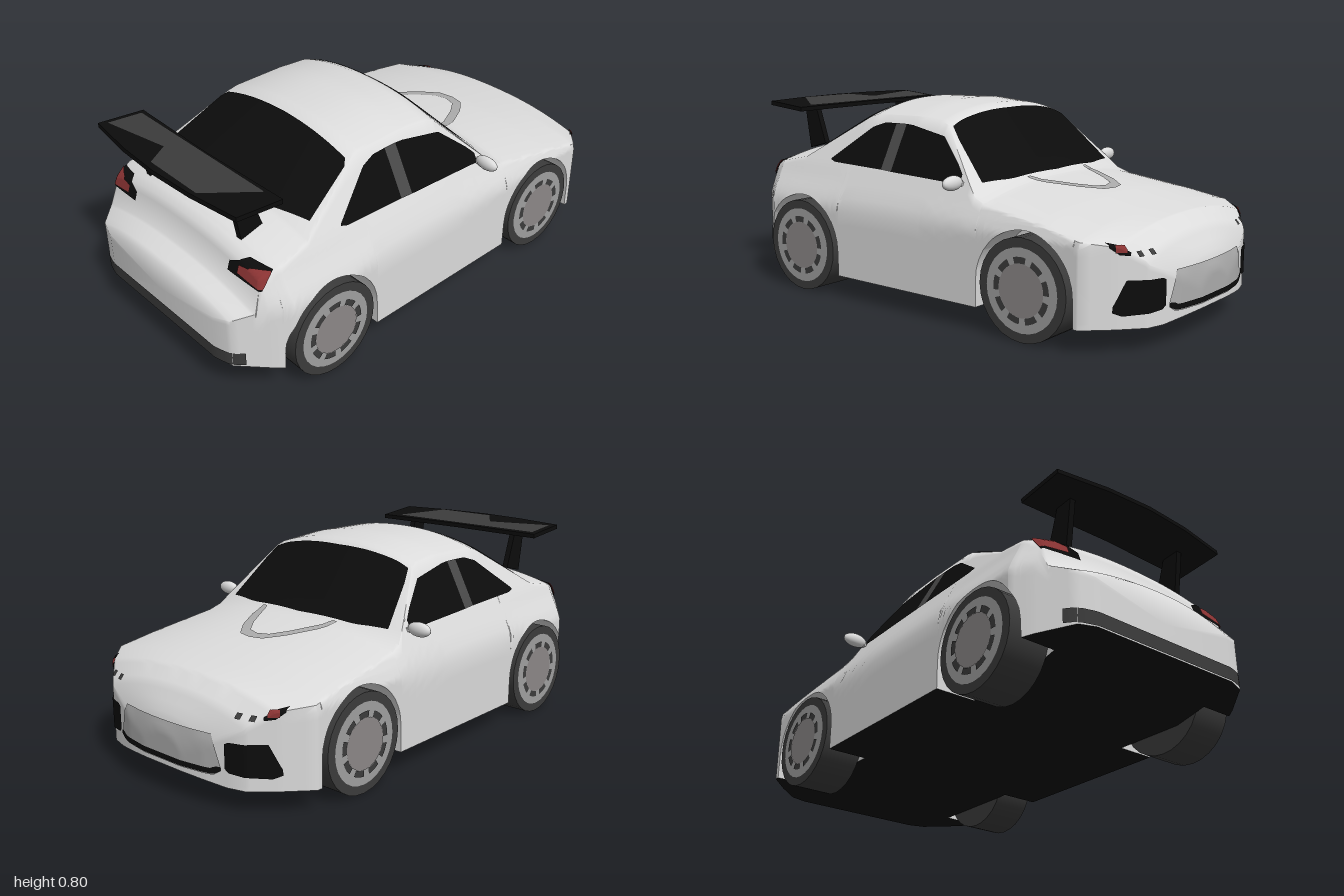
import * as THREE from 'three';
import { toCreasedNormals } from 'three/addons/utils/BufferGeometryUtils.js';

const flat = (name, color) => new THREE.MeshStandardMaterial({ name, color, side: THREE.DoubleSide });

// Piecewise linear lookup in a list of [position, value] pairs
function at(table, x) {
  if (x <= table[0][0]) return table[0][1];
  for (let i = 1; i < table.length; i++) {
    const [x0, y0] = table[i - 1], [x1, y1] = table[i];
    if (x <= x1) return y0 + (y1 - y0) * (x - x0) / (x1 - x0);
  }
  return table[table.length - 1][1];
}

// Body rules: centre line height, half width in plan, lower edge, side curve
const TOP = [[-1, .39], [-.985, .4], [-.91, .43], [-.87, .55], [-.82, .575], [-.67, .605], [-.38, .782], [-.34, .796],
  [-.12, .8], [.02, .787], [.05, .775], [.28, .54], [.33, .52], [.6, .48], [.87, .43], [.93, .38], [.98, .3], [1, .24]];
const WIDTH = [[-1, .33], [-.98, .4], [-.87, .49], [-.8, .535], [.77, .535], [.86, .45], [.94, .36], [.985, .2], [1, .1]];
const BASE = [[-1, .15], [-.83, .12], [-.7, .09], [.96, .09], [1, .11]];
const SIDE = [[.38, 1], [.42, .97], [.48, .912], [.53, .87], [.72, .682], [.8, .6]];
const WHEELS = [-.62, .535], ARCH = .213, AXLE = .19, CROWN = .055, WELL = .37;

const archAt = x => {
  const c = WHEELS.find(c => Math.abs(x - c) <= ARCH + 1e-6);
  return c === undefined ? null : AXLE + Math.sqrt(Math.max(0, ARCH * ARCH - (x - c) ** 2));
};

// One closed cross-section, running from the +z underside over the top to -z
function section(x) {
  const w = at(WIDTH, x), base = at(BASE, x), low = archAt(x) ?? base;
  const top = at(TOP, x), edge = top - CROWN, inset = Math.min(WELL, w);
  const half = [[base, inset], [low, inset]];
  for (let k = 0; k <= 12; k++) {
    const y = low + (edge - low) * k / 12;
    half.push([y, w * at(SIDE, y)]);
  }
  const edgeZ = w * at(SIDE, edge);
  for (let k = 1; k <= 12; k++) {
    const t = Math.cos(k / 12 * Math.PI / 2);
    half.push([top - CROWN * Math.pow(Math.max(t, 0), 2.3), k === 12 ? 0 : edgeZ * t]);
  }
  return half.concat(half.slice(0, -1).reverse().map(([y, z]) => [y, -z]));
}

function buildBody(paint, under) {
  let xs = [...TOP, ...WIDTH, ...BASE].map(p => p[0]);
  for (let i = 0; i <= 50; i++) xs.push(-1 + i / 25);
  for (const c of WHEELS) {
    xs.push(c - ARCH - .001, c + ARCH + .001);
    for (let i = 0; i <= 16; i++) xs.push(c + ARCH * Math.cos(i / 16 * Math.PI));
  }
  xs = xs.sort((a, b) => a - b).filter((x, i, all) => i === 0 || x - all[i - 1] > .0008);
  const pos = [], shell = [], floor = [];
  const rings = xs.map(section), n = rings[0].length;
  rings.forEach((ring, i) => ring.forEach(([y, z]) => pos.push(xs[i], y, z)));
  for (let i = 0; i < xs.length - 1; i++) {
    const inWell = archAt(xs[i]) !== null || archAt(xs[i + 1]) !== null;
    for (let j = 0; j < n; j++) {
      const k = (j + 1) % n, a = i * n + j, b = a + n, c = (i + 1) * n + k, d = i * n + k;
      const below = j === n - 1 || (!inWell && (j < 2 || j > n - 4));
      (below ? floor : shell).push(a, b, c, a, c, d);
    }
  }
  // Tail and nose caps
  const last = (xs.length - 1) * n, mid = pos.length / 3;
  pos.push(-1, .27, 0, 1, .17, 0);
  for (let j = 0; j < n; j++) {
    const k = (j + 1) % n;
    shell.push(mid, j, k, mid + 1, last + k, last + j);
  }
  const make = (name, index, mat) => {
    const g = new THREE.BufferGeometry();
    g.setAttribute('position', new THREE.Float32BufferAttribute(pos, 3));
    g.setIndex(index);
    const mesh = new THREE.Mesh(toCreasedNormals(g, 1), mat);
    mesh.name = name;
    return mesh;
  };
  return [make('bodyShell', shell, paint), make('underside', floor, under)];
}

// Thin plate laid on the shell, between two outline curves seen along an axis
function plate(target, name, mat, dir, [a0, a1], low, high, lift = .004) {
  const U = 40, V = 8, pos = [], index = [], ray = new THREE.Raycaster();
  const d = new THREE.Vector3(...dir);
  let previous = null;
  for (let i = 0; i <= U; i++) for (let j = 0; j <= V; j++) {
    const a = a0 + (a1 - a0) * i / U, key = dir[2] ? a : Math.abs(a);
    const b = at(low, key) + (at(high, key) - at(low, key)) * j / V;
    const p = dir[0] ? [0, b, a] : dir[1] ? [b, 0, a] : [a, b, 0];
    ray.set(new THREE.Vector3(...p).addScaledVector(d, 3), d.clone().negate());
    const hit = ray.intersectObject(target)[0];
    if (hit) previous = hit.point.clone().addScaledVector(hit.face.normal, lift);
    pos.push(...(previous ?? new THREE.Vector3(...p)).toArray());
    if (i < U && j < V) {
      const q = i * (V + 1) + j, r = q + V + 1;
      index.push(q, r, r + 1, q, r + 1, q + 1);
    }
  }
  const g = new THREE.BufferGeometry();
  g.setAttribute('position', new THREE.Float32BufferAttribute(pos, 3));
  g.setIndex(index);
  g.computeVertexNormals();
  const mesh = new THREE.Mesh(g, mat);
  mesh.name = name;
  return mesh;
}

export function createModel() {
  const car = new THREE.Group();
  car.name = 'sportsCar';
  const paint = flat('silverWhitePaint', 0xdcdcdc), black = flat('black', 0x0c0c0c);
  const charcoal = flat('charcoal', 0x3c3c3c), rimGrey = flat('rimGrey', 0xa0a0a0);
  const hubGrey = flat('hubGrey', 0x8c8888), red = flat('lampRed', 0x8c3434);
  const trimGrey = flat('trimGrey', 0xacacac), pillarGrey = flat('pillarGrey', 0x484848);
  const add = (name, geometry, mat, parent = car) => {
    const mesh = new THREE.Mesh(geometry, mat);
    mesh.name = name;
    parent.add(mesh);
    return mesh;
  };

  const [shell, underside] = buildBody(paint, black);
  car.add(shell, underside);
  shell.updateMatrixWorld();
  const lay = (...args) => car.add(plate(shell, ...args));
  const FRONT = [1, 0, 0], REAR = [-1, 0, 0], UP = [0, 1, 0];
  const level = v => [[0, v]];

  // Windscreen and rear window
  lay('windscreen', black, UP, [-.415, .415], [[0, .06], [.3, .055], [.36, .06], [.415, .25]], [[0, .3], [.25, .285], [.415, .255]]);
  lay('rearWindow', black, UP, [-.405, .405], [[0, -.68], [.25, -.66], [.405, -.615]], [[0, -.385], [.36, -.39], [.405, -.61]]);

  // Hood crest line
  lay('hoodCurve', trimGrey, UP, [-.2, .2], [[0, .53], [.05, .515], [.1, .45], [.16, .34], [.175, .3], [.2, .3]],
    [[0, .572], [.06, .56], [.12, .49], [.18, .38], [.2, .31]]);

  // Grille, lower intake and rear skirt
  lay('grillePanel', trimGrey, FRONT, [-.27, .27], [[.24, .13], [.27, .15]], [[.235, .275], [.27, .16]]);
  lay('lowerIntake', black, FRONT, [-.27, .27], [[0, .135], [.24, .135], [.27, .15]], [[0, .155], [.23, .155], [.25, .165], [.27, .165]], .007);
  lay('rearSkirt', charcoal, REAR, [-.43, .43], level(.152), level(.205));

  for (const s of [1, -1]) {
    const span = (a, b) => [s * a, s * b], OUT = [0, 0, s];

    // Side windows and door pillar
    lay('rearSideWindow', black, OUT, [-.515, -.22], [[-.515, .55], [-.49, .542], [-.22, .535]],
      [[-.515, .555], [-.34, .69], [-.28, .71], [-.22, .712]]);
    lay('doorPillar', pillarGrey, OUT, [-.22, -.165], [[-.22, .535], [-.165, .532]], level(.712));
    lay('frontSideWindow', black, OUT, [-.165, .195], [[-.165, .532], [.195, .52]],
      [[-.165, .712], [-.13, .71], [.05, .68], [.16, .59], [.195, .555]]);

    // Lamps and bumper vents
    lay('frontVent', black, FRONT, span(.285, .455), [[.285, .16], [.3, .147], [.43, .137], [.455, .15]],
      [[.285, .25], [.3, .258], [.42, .262], [.455, .17]]);
    lay('headlampFrame', black, FRONT, span(.41, .465), [[.41, .345], [.44, .35], [.465, .375]], [[.41, .355], [.44, .38], [.465, .388]]);
    lay('headlampLens', red, FRONT, span(.42, .45), level(.358), level(.378), .007);
    for (const z of [.31, .365]) lay('markerLamp', charcoal, FRONT, span(z, z + .022), level(.338), level(.355));
    lay('tailLampFrame', black, REAR, span(.29, .455), [[.29, .465], [.455, .455]], [[.29, .5], [.36, .53], [.455, .52]]);
    lay('tailLampLens', red, REAR, span(.34, .455), [[.34, .475], [.455, .46]], [[.34, .505], [.455, .515]], .008);

    // Door mirrors
    const mirror = add('doorMirror', new THREE.SphereGeometry(1, 16, 12), paint);
    mirror.scale.set(.022, .028, .052);
    mirror.position.set(.2, .533, s * .518);
    const arm = add('mirrorArm', new THREE.BoxGeometry(.02, .015, .05), paint);
    arm.position.set(.2, .525, s * .465);

    // Wing struts
    const strut = new THREE.Shape([[-.86, .75], [-.79, .745], [-.735, .585], [-.83, .56]].map(p => new THREE.Vector2(...p)));
    const strutMesh = add('wingStrut', new THREE.ExtrudeGeometry(strut, { depth: .025, bevelEnabled: false }), black);
    strutMesh.position.z = s * .28 - .0125;

    // Wheels
    for (const x of WHEELS) {
      const wheel = new THREE.Group();
      wheel.name = x > 0 ? 'frontWheel' : 'rearWheel';
      wheel.position.set(x, AXLE, s * .455);
      if (s < 0) wheel.rotation.y = Math.PI;
      add('tyre', new THREE.CylinderGeometry(.19, .19, .168, 28).rotateX(Math.PI / 2), charcoal, wheel);
      add('rim', new THREE.CircleGeometry(.155, 28), rimGrey, wheel).position.z = .086;
      add('hub', new THREE.CircleGeometry(.098, 24), hubGrey, wheel).position.z = .089;
      for (let i = 0; i < 9; i++) {
        const slot = new THREE.RingGeometry(.098, .122, 5, 1, i / 9 * Math.PI * 2, .46);
        add('rimSlot', slot, charcoal, wheel).position.z = .089;
      }
      car.add(wheel);
    }
  }

  // Rear wing: plan outline extruded, then tilted; z is mirrored by the turn
  const wing = new THREE.Group();
  wing.name = 'rearWing';
  const plan = new THREE.Shape([[-.085, -.42], [.11, -.42], [.1, 0], [.11, .42], [-.085, .42], [-.115, .2], [-.125, 0], [-.115, -.2]]
    .map(p => new THREE.Vector2(...p)));
  add('wingBlade', new THREE.ExtrudeGeometry(plan, { depth: .018, bevelEnabled: false }).rotateX(-Math.PI / 2), black, wing);
  const sheen = new THREE.Shape([[-.1, -.22], [.09, -.35], [.09, .4], [-.06, .4], [.0, .12], [-.1, .05]].map(p => new THREE.Vector2(...p)));
  add('wingTopPanel', new THREE.ShapeGeometry(sheen).rotateX(-Math.PI / 2), charcoal, wing).position.y = .021;
  wing.position.set(-.85, .742, 0);
  wing.rotation.z = -.09;
  car.add(wing);

  return car;
}
